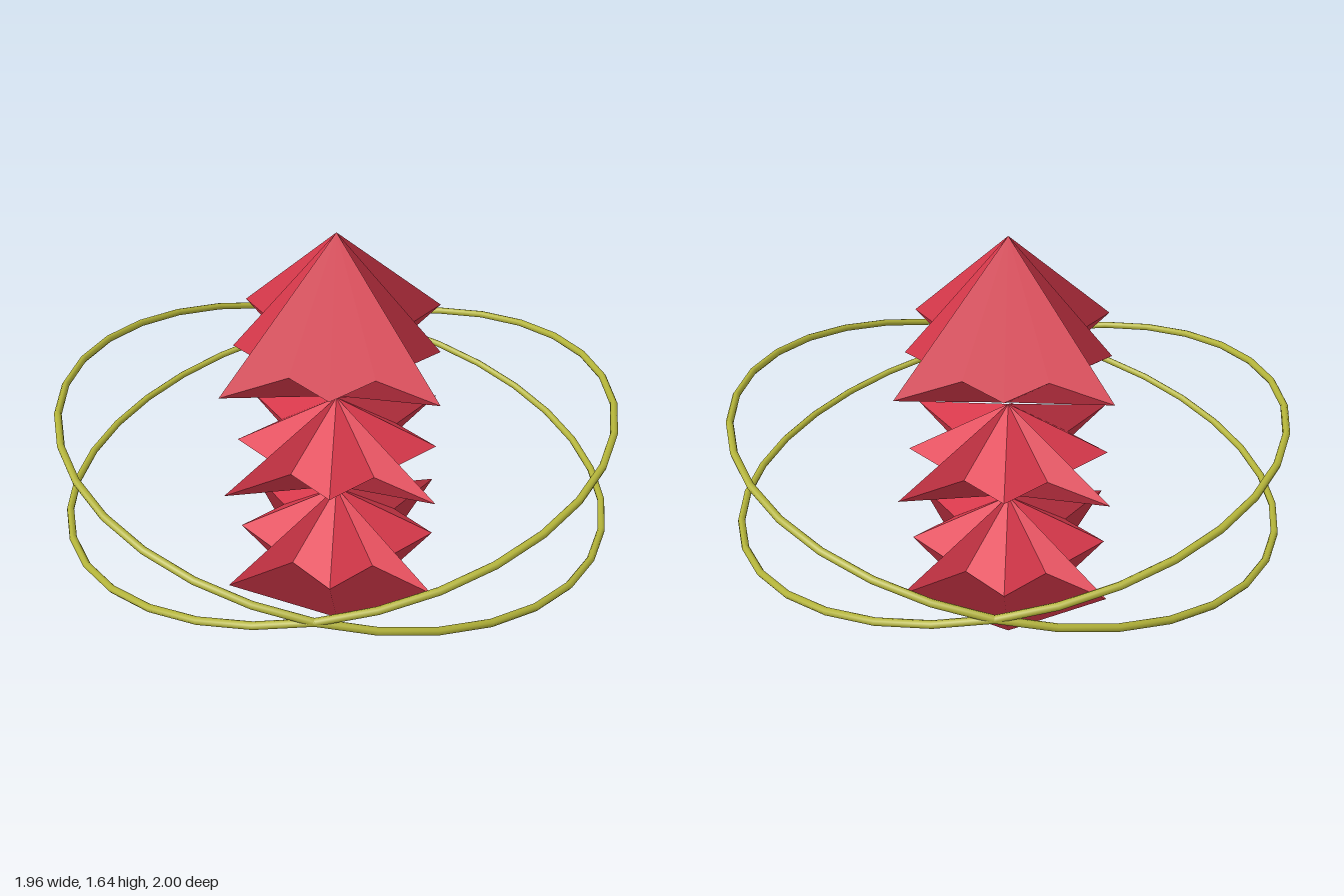
import * as THREE from 'three';

const RED = new THREE.MeshStandardMaterial({ color: 0xdd3a4d });
const OLIVE = new THREE.MeshStandardMaterial({ color: 0xb5b53a });

const TIP = 0.358;     // reach of the spikes along x and z
const VALLEY = 0.145;  // notch between a corner spike and a side spike
const SHORT = 0.19, TALL = 0.432;

// Eight-spiked star: per side a corner, notch, side spike and notch
function starOutline() {
  const side = [[TIP, TIP], [VALLEY, TIP - VALLEY], [0, TIP], [-VALLEY, TIP - VALLEY]];
  const points = [];
  for (let k = 0; k < 4; k++) {
    for (const [x, z] of side) {
      points.push(new THREE.Vector3(x, 0, z).applyAxisAngle(new THREE.Vector3(0, 1, 0), -k * Math.PI / 2));
    }
  }
  return points;
}

// Fan from the star to an apex; a broad fan shades each of its four sides as one plane
function starCone(height, broad) {
  const outline = starOutline();
  const apex = new THREE.Vector3(0, height, 0);
  const positions = [], normals = [];
  for (let side = 0; side < 4; side++) {
    const faces = [], sum = new THREE.Vector3();
    for (let j = 0; j < 4; j++) {
      const a = outline[side * 4 + j], b = outline[(side * 4 + j + 1) % 16];
      const corners = height > 0 ? [apex, b, a] : [apex, a, b];
      const normal = corners[1].clone().sub(apex).cross(corners[2].clone().sub(apex));
      sum.add(normal);
      faces.push({ corners, normal });
    }
    for (const { corners, normal } of faces) {
      const n = (broad ? sum : normal).clone().normalize();
      for (const p of corners) {
        positions.push(...p.toArray());
        normals.push(...n.toArray());
      }
    }
  }
  const geometry = new THREE.BufferGeometry();
  geometry.setAttribute('position', new THREE.Float32BufferAttribute(positions, 3));
  geometry.setAttribute('normal', new THREE.Float32BufferAttribute(normals, 3));
  return geometry;
}

// One crystal: an upper and a lower star cone sharing an outline
function crystal(name, y, up, down) {
  const group = new THREE.Group();
  group.name = name;
  group.position.y = y;
  const upper = new THREE.Mesh(starCone(up, up === TALL), RED);
  upper.name = name + 'Top';
  const lower = new THREE.Mesh(starCone(-down, down === TALL), RED);
  lower.name = name + 'Bottom';
  group.add(upper, lower);
  return group;
}

export function createModel() {
  const model = new THREE.Group();
  model.name = 'crystalTotem';

  // Stack of three crystals
  const middle = 0.818, gap = 0.386;
  model.add(
    crystal('lowerCrystal', middle - gap, SHORT, TALL),
    crystal('middleCrystal', middle, SHORT, SHORT),
    crystal('upperCrystal', middle + gap, TALL, SHORT),
  );

  // Two crossed rings tilted opposite ways
  for (const tilt of [-1, 1]) {
    const geometry = new THREE.TorusGeometry(0.987, 0.013, 8, 32);
    geometry.rotateX(Math.PI / 2);
    const ring = new THREE.Mesh(geometry, OLIVE);
    ring.name = tilt > 0 ? 'ringRisingLeft' : 'ringRisingRight';
    ring.position.y = middle;
    ring.rotation.z = tilt * 0.209;
    model.add(ring);
  }
  return model;
}
